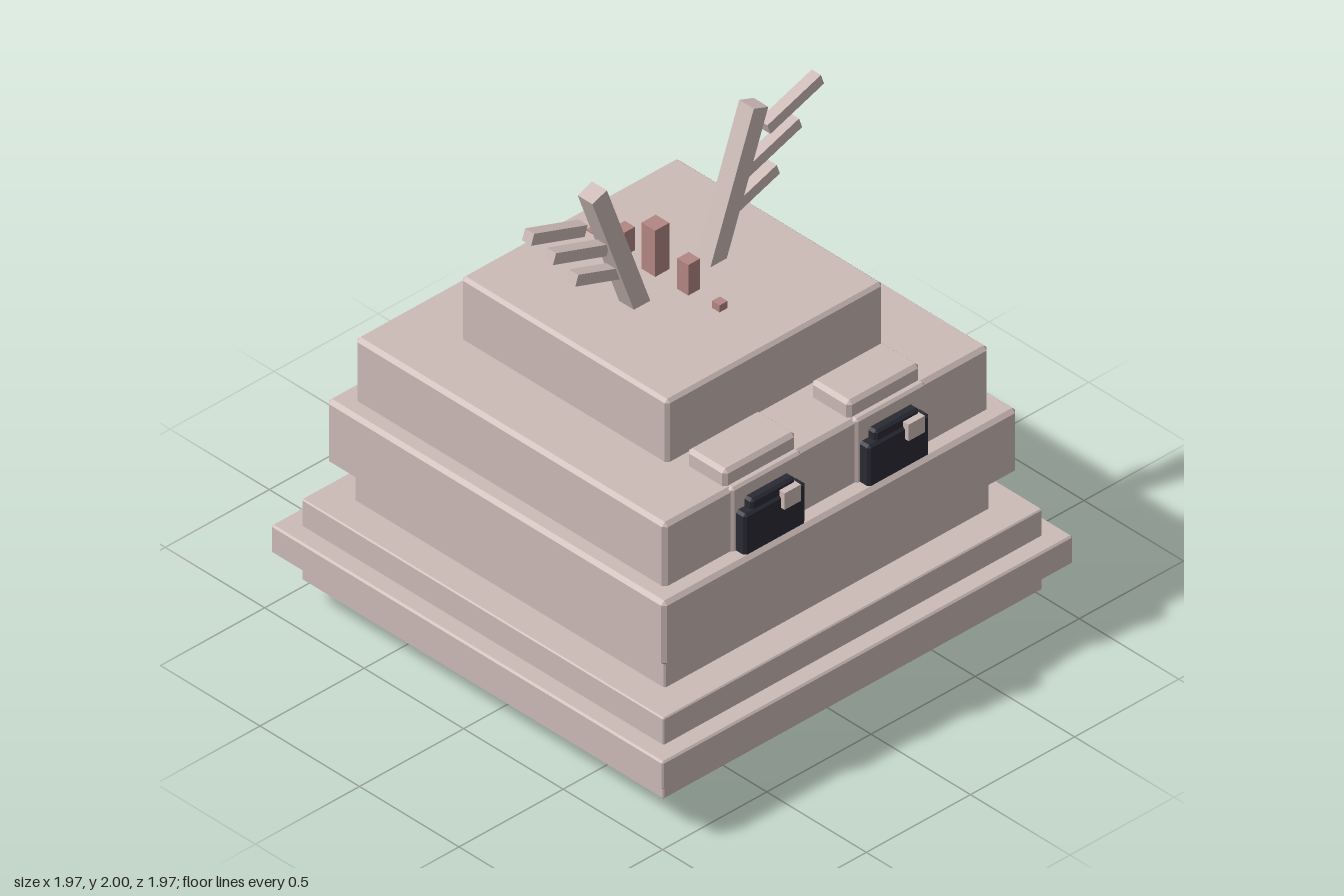
import * as THREE from 'three';
import { ConvexGeometry } from 'three/addons/geometries/ConvexGeometry.js';

const skin = new THREE.MeshStandardMaterial({ name: 'dusty pink', color: 0xcdbbb7, flatShading: true });
const crestMat = new THREE.MeshStandardMaterial({ name: 'dull rose', color: 0xb38783, flatShading: true });
const eyeMat = new THREE.MeshStandardMaterial({ name: 'near black', color: 0x2a2a34, flatShading: true });

// Box between two corners; bevel > 0 cuts all its edges at 45 degrees
function block(parent, name, mat, [x0, y0, z0], [x1, y1, z1], bevel = 0) {
  const h = [(x1 - x0) / 2, (y1 - y0) / 2, (z1 - z0) / 2];
  let geo;
  if (bevel) {
    const pts = [];
    for (const sx of [-1, 1]) for (const sy of [-1, 1]) for (const sz of [-1, 1]) {
      for (let axis = 0; axis < 3; axis++) {
        const inset = h.map((v, i) => (i === axis ? v : v - bevel));
        pts.push(new THREE.Vector3(sx * inset[0], sy * inset[1], sz * inset[2]));
      }
    }
    geo = new ConvexGeometry(pts);
  } else {
    geo = new THREE.BoxGeometry(h[0] * 2, h[1] * 2, h[2] * 2);
  }
  const mesh = new THREE.Mesh(geo, mat);
  mesh.name = name;
  mesh.position.set((x0 + x1) / 2, (y0 + y1) / 2, (z0 + z1) / 2);
  parent.add(mesh);
  return mesh;
}

// Square bar lying in the x-y plane, centred at (x, y)
function bar(parent, name, x, y, length, width, degrees) {
  const mesh = new THREE.Mesh(new THREE.BoxGeometry(length, width, width), skin);
  mesh.name = name;
  mesh.position.set(x, y, 0.005);
  mesh.rotation.z = THREE.MathUtils.degToRad(degrees);
  parent.add(mesh);
}

export function createModel() {
  const model = new THREE.Group();
  model.name = 'tieredCreature';

  // Stacked body: half width, bottom, top, bevel
  const tiers = [
    [0.605, 0, 0.125, 0.005],
    [0.91, 0.122, 0.24, 0.005],
    [0.985, 0.235, 0.355, 0.007],
    [0.91, 0.35, 0.467, 0.005],
    [0.78, 0.46, 0.64, 0.007],
    [0.85, 0.622, 0.895, 0.015],
    [0.78, 0.88, 1.16, 0.015],
    [0.52, 1.15, 1.425, 0.013],
  ];
  tiers.forEach(([r, y0, y1, b], i) =>
    block(model, `bodyTier${i + 1}`, skin, [-r, y0, -r], [r, y1, r], b));

  // Small pads under the body
  block(model, 'frontPad', skin, [-0.54, 0.085, 0.5], [-0.21, 0.16, 0.825], 0.015);
  block(model, 'sidePad', skin, [0.5, 0.085, -0.52], [0.825, 0.16, -0.2], 0.015);
  block(model, 'backPad', skin, [-0.67, 0.085, -0.72], [-0.35, 0.16, -0.45], 0.015);

  // Eyes: socket, brow, stepped dark eye and glint
  for (const cx of [-0.3, 0.295]) {
    const eye = new THREE.Group();
    eye.name = cx > 0 ? 'leftEye' : 'rightEye';
    eye.position.x = cx;
    block(eye, 'socket', skin, [-0.165, 0.86, 0.6], [0.17, 1.163, 0.79], 0.01);
    block(eye, 'brow', skin, [-0.173, 1.1, 0.565], [0.173, 1.228, 0.762], 0.015);
    block(eye, 'eyeball', eyeMat, [-0.147, 0.86, 0.77], [0.147, 1.065, 0.835], 0.01);
    block(eye, 'eyeTop', eyeMat, [-0.106, 0.9, 0.77], [0.106, 1.105, 0.826], 0.01);
    block(eye, 'glint', skin, [0.026, 1.015, 0.8], [0.104, 1.085, 0.853]);
    model.add(eye);
  }

  // Antlers: one leaning beam with three tines, mirrored by sign
  for (const s of [-1, 1]) {
    const antler = new THREE.Group();
    antler.name = s > 0 ? 'leftAntler' : 'rightAntler';
    bar(antler, 'beam', s * 0.279, 1.687, 0.635, 0.074, s * 70);
    for (const [x, y] of [[0.567, 1.904], [0.462, 1.77], [0.355, 1.625]]) {
      bar(antler, 'tine', s * x, y, 0.272, 0.046, s * 19);
    }
    model.add(antler);
  }

  // Crest spikes along the head: z, half width, top
  const spikes = [
    [0.24, 0.019, 1.455],
    [0.083, 0.028, 1.555],
    [-0.083, 0.034, 1.622],
    [-0.238, 0.025, 1.525],
    [-0.4, 0.015, 1.431],
  ];
  for (const [z, r, top] of spikes) {
    block(model, 'crestSpike', crestMat, [-r, 1.38, z - r], [r, top, z + r]);
  }
  return model;
}
